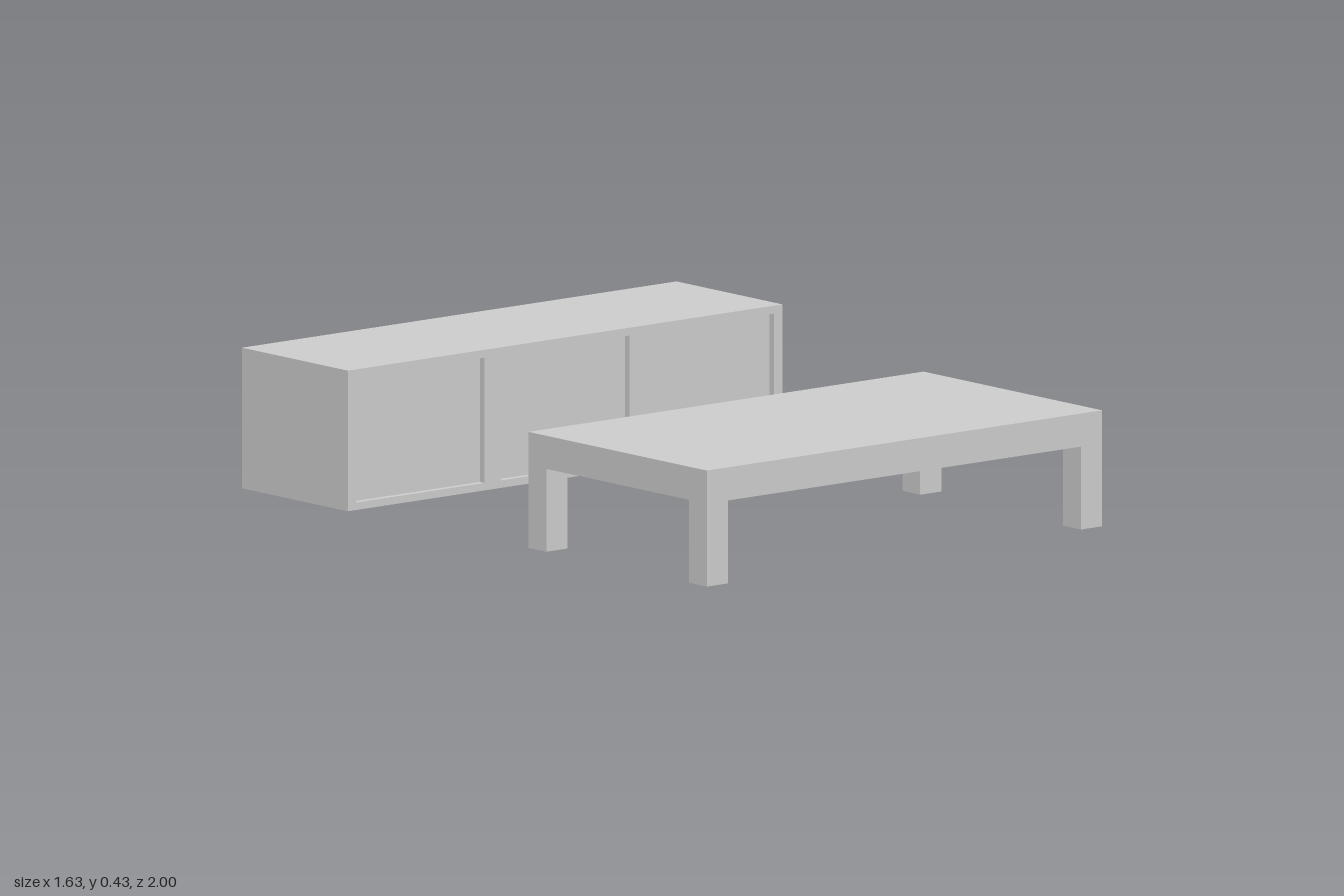
import * as THREE from 'three';

const material = new THREE.MeshStandardMaterial({ color: 0xcccccc });

// Box given by its minimum and maximum corners
function box(name, [x0, y0, z0], [x1, y1, z1]) {
  const mesh = new THREE.Mesh(new THREE.BoxGeometry(x1 - x0, y1 - y0, z1 - z0), material);
  mesh.name = name;
  mesh.position.set((x0 + x1) / 2, (y0 + y1) / 2, (z0 + z1) / 2);
  return mesh;
}

// Closed rectangular outline
function rect(PathType, x0, y0, x1, y1) {
  const path = new PathType();
  path.moveTo(x0, y0).lineTo(x1, y0).lineTo(x1, y1).lineTo(x0, y1).closePath();
  return path;
}

function createCabinet() {
  const cabinet = new THREE.Group();
  cabinet.name = 'cabinet';
  const halfWidth = 0.817, bottom = 0.013, top = 0.425;
  const back = -1, front = -0.525, recess = 0.02;

  cabinet.add(box('cabinetBody', [-halfWidth, bottom, back], [halfWidth, top, front - recess]));

  // Front frame with three openings that leave the door panels recessed
  const outline = rect(THREE.Shape, -halfWidth, bottom, halfWidth, top);
  for (const x of [-0.545, 0, 0.545]) {
    outline.holes.push(rect(THREE.Path, x - 0.241, 0.035, x + 0.241, 0.402));
  }
  const frame = new THREE.Mesh(
    new THREE.ExtrudeGeometry(outline, { depth: recess, bevelEnabled: false }), material);
  frame.name = 'cabinetFrontFrame';
  frame.position.z = front - recess;
  cabinet.add(frame);
  return cabinet;
}

function createTable() {
  const table = new THREE.Group();
  table.name = 'lowTable';
  const left = -0.746, right = 0.74, back = 0.2, front = 1;
  const underside = 0.243, legSize = 0.08;

  table.add(box('tableTop', [left, underside, back], [right, 0.34, front]));

  // Square legs flush with the corners
  for (const x of [left, right - legSize]) {
    for (const z of [back, front - legSize]) {
      table.add(box('tableLeg', [x, 0, z], [x + legSize, underside, z + legSize]));
    }
  }
  return table;
}

export function createModel() {
  const model = new THREE.Group();
  model.name = 'livingRoomFurniture';
  model.add(createCabinet(), createTable());
  return model;
}
